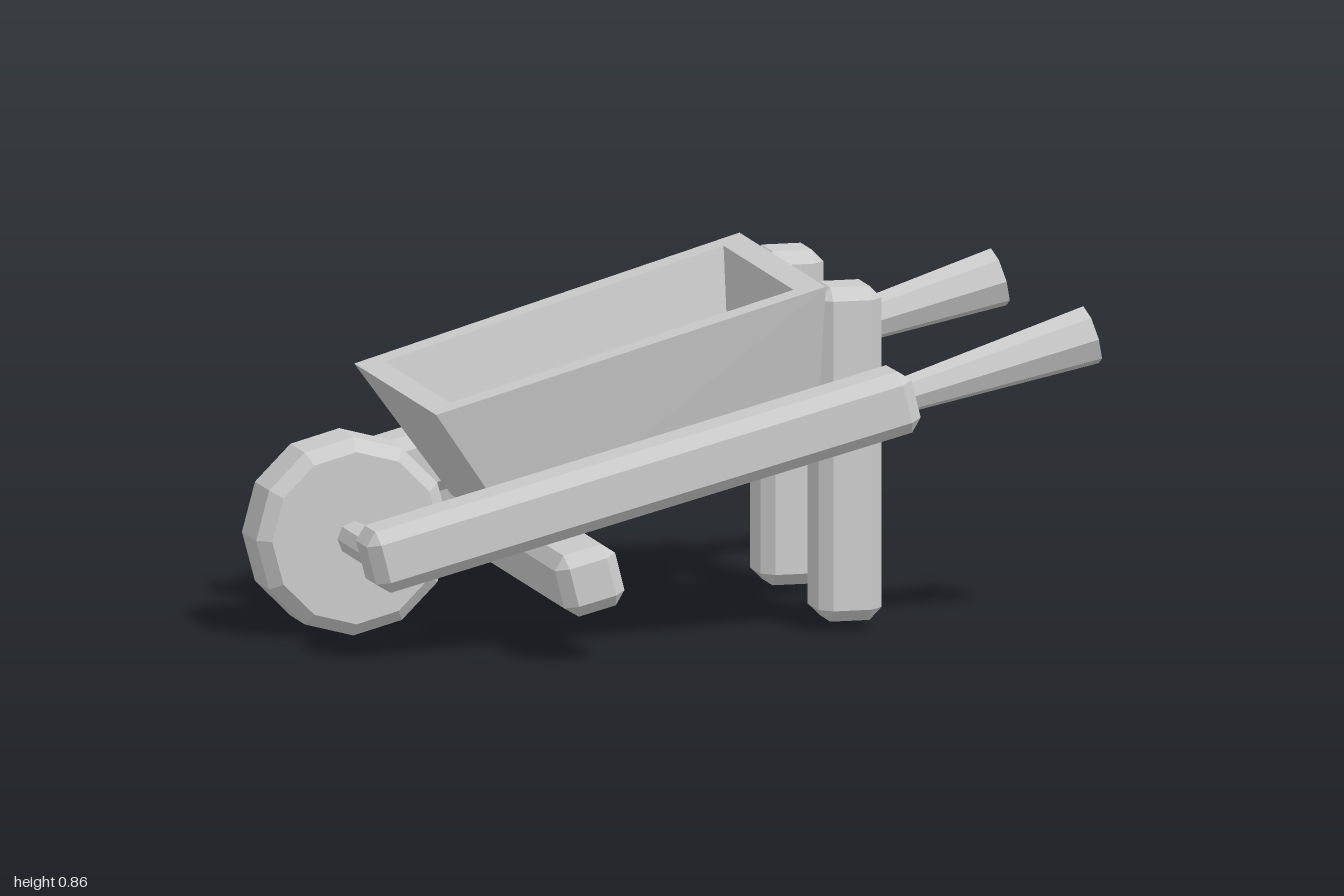
import * as THREE from 'three';
import { ConvexGeometry } from 'three/addons/geometries/ConvexGeometry.js';

const SLOPE = 0.25;
const mat = new THREE.MeshStandardMaterial({ color: 0xcccccc, flatShading: true });
const shellMat = new THREE.MeshStandardMaterial({ color: 0xcccccc, flatShading: true, side: THREE.DoubleSide });

// Beam with chamfered edges and corners
function chamferBox(w, h, d, b = 0.03) {
  const pts = [];
  for (const sx of [-1, 1]) for (const sy of [-1, 1]) for (const sz of [-1, 1]) {
    const x = w / 2, y = h / 2, z = d / 2;
    pts.push(
      new THREE.Vector3(sx * x, sy * (y - b), sz * (z - b)),
      new THREE.Vector3(sx * (x - b), sy * y, sz * (z - b)),
      new THREE.Vector3(sx * (x - b), sy * (y - b), sz * z));
  }
  return new ConvexGeometry(pts);
}

// Four-cornered loop: front edge (x, y, half width), then back edge
const loop = (x0, y0, z0, x1, y1, z1) =>
  [[x0, y0, -z0], [x0, y0, z0], [x1, y1, z1], [x1, y1, -z1]];

function trayGeometry() {
  const loops = [
    loop(-0.415, 0.265, 0.31, 0.325, 0.45, 0.31),   // outer bottom (open)
    loop(-0.64, 0.585, 0.375, 0.325, 0.857, 0.395), // outer rim
    loop(-0.585, 0.6, 0.3, 0.265, 0.84, 0.32),      // inner rim
    loop(-0.42, 0.378, 0.25, 0.262, 0.555, 0.262),  // floor
  ];
  const pos = [];
  const quad = (a, b, c, d) => pos.push(...a, ...b, ...c, ...a, ...c, ...d);
  for (let k = 0; k < 3; k++) for (let i = 0; i < 4; i++) {
    const j = (i + 1) % 4;
    quad(loops[k][i], loops[k][j], loops[k + 1][j], loops[k + 1][i]);
  }
  quad(...loops[3]);
  const g = new THREE.BufferGeometry();
  g.setAttribute('position', new THREE.Float32BufferAttribute(pos, 3));
  g.computeVertexNormals();
  return g;
}

export function createModel() {
  const model = new THREE.Group();
  model.name = 'wheelbarrow';
  const add = (name, geo, x, y, z, material = mat) => {
    const m = new THREE.Mesh(geo, material);
    m.name = name;
    m.position.set(x, y, z);
    model.add(m);
    return m;
  };

  add('tray', trayGeometry(), 0, 0, 0, shellMat);

  // Rails, handles and legs on both sides
  const railGeo = chamferBox(1.4, 0.155, 0.157);
  const legGeo = chamferBox(0.157, 0.815, 0.157);
  const from = new THREE.Vector3(0.5, 0.585, 0), to = new THREE.Vector3(0.978, 0.715, 0);
  const dir = to.clone().sub(from);
  const mid = from.clone().add(to).multiplyScalar(0.5);
  const handleGeo = new THREE.CylinderGeometry(0.073, 0.043, dir.length(), 8);
  for (const [side, s] of [['left', 1], ['right', -1]]) {
    // the cart points along -x, so the sides are named by z
    const label = side === 'left' ? 'front' : 'back';
    add(label + 'Rail', railGeo, -0.15, 0.415, s * 0.425).rotation.z = SLOPE;
    add(label + 'Handle', handleGeo, mid.x, mid.y, s * 0.422).rotation.z =
      Math.atan2(dir.y, dir.x) - Math.PI / 2;
    add(label + 'Leg', legGeo, 0.407, 0.4325, s * 0.265);
  }

  // Cross beam under the rails
  add('crossBeam', chamferBox(0.155, 0.155, 1.245), -0.317, 0.203, 0).rotation.z = SLOPE;

  // Bevelled wheel and axle
  const profile = [[0, -0.095], [0.21, -0.095], [0.242, -0.065], [0.242, 0.065], [0.21, 0.095], [0, 0.095]]
    .map(([r, y]) => new THREE.Vector2(r, y));
  add('wheel', new THREE.LatheGeometry(profile, 12), -0.762, 0.243, 0).rotation.x = Math.PI / 2;
  add('axle', new THREE.CylinderGeometry(0.042, 0.042, 0.76, 8), -0.768, 0.243, 0).rotation.x = Math.PI / 2;

  return model;
}
